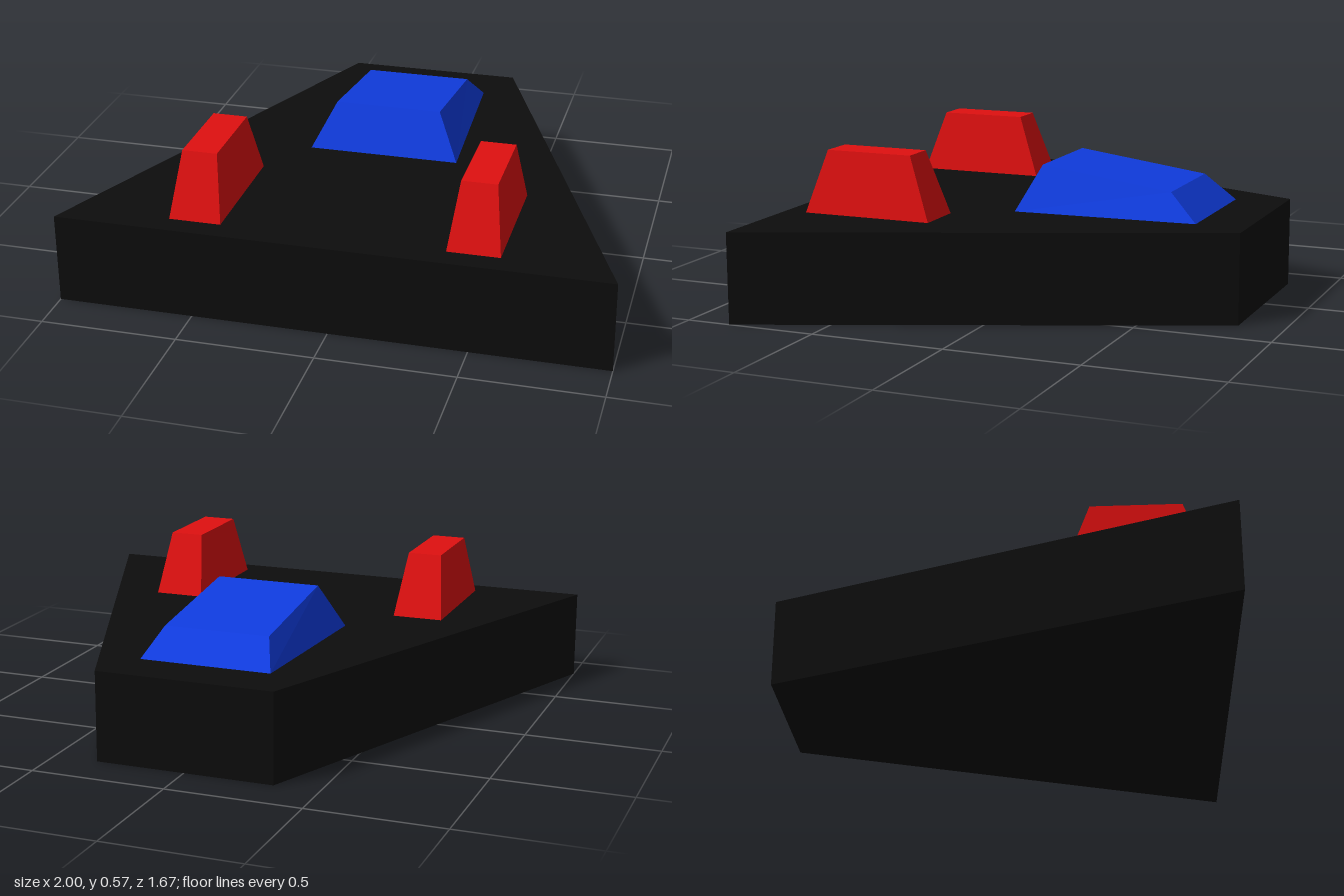
import * as THREE from 'three';

// A box whose bottom and top corners are placed by two end sections:
// each end is [x half-width, y, z] for back and front.
function taperedBlock(name, material, bottom, top) {
  const geometry = new THREE.BoxGeometry(1, 1, 1).toNonIndexed();
  const p = geometry.attributes.position;
  for (let i = 0; i < p.count; i++) {
    const level = p.getY(i) > 0 ? top : bottom;
    const [halfWidth, y, z] = p.getZ(i) > 0 ? level.front : level.back;
    p.setXYZ(i, Math.sign(p.getX(i)) * halfWidth, y, z);
  }
  geometry.computeVertexNormals();
  const mesh = new THREE.Mesh(geometry, material);
  mesh.name = name;
  return mesh;
}

export function createModel() {
  const hullBlack = new THREE.MeshStandardMaterial({ name: 'hullBlack', color: 0x0d0d0d });
  const canopyBlue = new THREE.MeshStandardMaterial({ name: 'canopyBlue', color: 0x103ce0 });
  const podRed = new THREE.MeshStandardMaterial({ name: 'podRed', color: 0xe01010 });

  const model = new THREE.Group();
  model.name = 'wedgeCraft';
  const deck = 0.333;

  // Trapezoid hull, wide at the front
  model.add(taperedBlock('hull', hullBlack,
    { back: [0.333, 0, -0.833], front: [1, 0, 0.833] },
    { back: [0.333, deck, -0.833], front: [1, deck, 0.833] }));

  // Canopy with a roof sloping down to the back
  model.add(taperedBlock('canopy', canopyBlue,
    { back: [0.248, deck, -0.643], front: [0.283, deck, 0.045] },
    { back: [0.2, 0.433, -0.533], front: [0.2, 0.5, -0.033] }));

  // Two raised pods
  for (const [name, x] of [['leftPod', 0.496], ['rightPod', -0.504]]) {
    const pod = taperedBlock(name, podRed,
      { back: [0.095, deck, 0.25], front: [0.095, deck, 0.748] },
      { back: [0.064, 0.567, 0.333], front: [0.064, 0.567, 0.667] });
    pod.position.x = x;
    model.add(pod);
  }
  return model;
}
